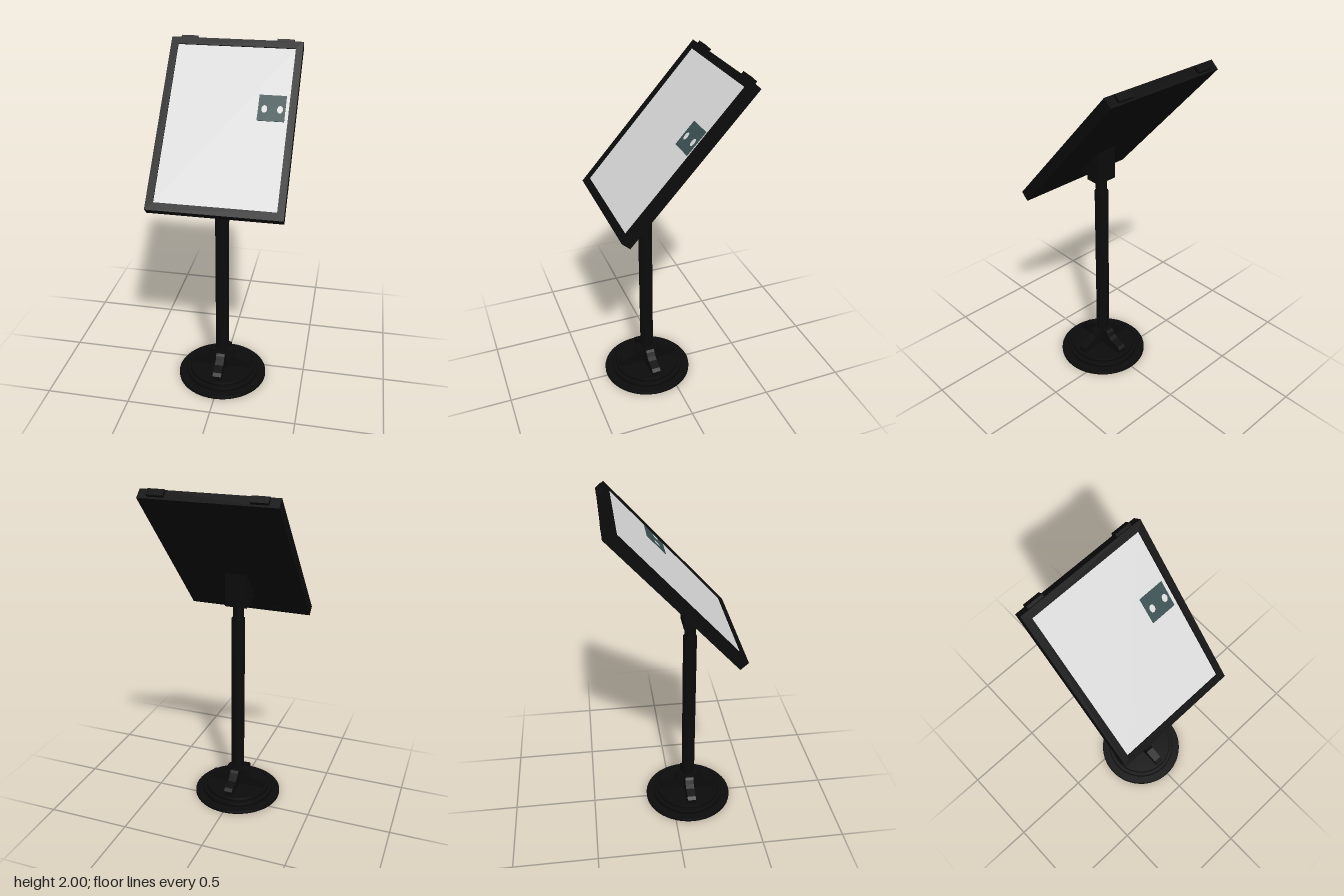
import * as THREE from 'three';

const mat = (name, color, side = THREE.FrontSide) => {
  const m = new THREE.MeshStandardMaterial({ color, side });
  m.name = name;
  return m;
};

export function createModel() {
  const black = mat('black', 0x0b0b0b);
  const screenGrey = mat('screen grey', 0xd9d9d9);
  const teal = mat('dark teal', 0x3a4f50);

  const model = new THREE.Group();
  model.name = 'displayStand';

  const add = (parent, name, geometry, material, x = 0, y = 0, z = 0) => {
    const mesh = new THREE.Mesh(geometry, material);
    mesh.name = name;
    mesh.position.set(x, y, z);
    parent.add(mesh);
    return mesh;
  };
  const shapeOf = pts => new THREE.Shape(pts.map(p => new THREE.Vector2(...p)));
  // Side profile extruded to a width centred on its plane
  const slab = (pts, width) => {
    const g = new THREE.ExtrudeGeometry(shapeOf(pts), { depth: width, bevelEnabled: false });
    return g.translate(0, 0, -width / 2);
  };

  // Stand, centred on the post
  const stand = new THREE.Group();
  stand.name = 'stand';
  stand.position.z = 0.11;
  model.add(stand);

  // Stepped round base
  const discs = [[0.27, 0, 0.02], [0.222, 0.02, 0.045], [0.2, 0.045, 0.067]];
  discs.forEach(([r, y0, y1], i) => {
    const c = 0.006;
    const profile = [[0, y0], [r, y0], [r, y1 - c], [r - c, y1], [0, y1]];
    const g = new THREE.LatheGeometry(profile.map(p => new THREE.Vector2(...p)), 48);
    add(stand, `baseDisc${i + 1}`, g, black);
  });

  // Four curved feet bracing the post
  const foot = [[0, 0.06], [0.182, 0.06], [0.182, 0.095], [0.165, 0.112], [0.11, 0.128],
    [0.085, 0.142], [0.072, 0.165], [0.06, 0.178], [0, 0.178]];
  for (let i = 0; i < 4; i++) {
    add(stand, 'braceFoot', slab(foot, 0.052), black).rotation.y = i * Math.PI / 2;
  }

  // Post, with narrower sections at both ends
  add(stand, 'postFoot', new THREE.CylinderGeometry(0.035, 0.035, 0.15, 32), black, 0, 0.135);
  add(stand, 'post', new THREE.CylinderGeometry(0.04, 0.04, 1.0, 32), black, 0, 0.69);
  add(stand, 'postNeck', new THREE.CylinderGeometry(0.033, 0.033, 0.12, 32), black, 0, 1.23);

  // Wedge bracket between the post and the panel
  const wedge = [[-0.045, 1.27], [0.045, 1.27], [0.045, 1.298], [0.11, 1.298], [-0.045, 1.472]];
  add(stand, 'bracket', slab(wedge, 0.13), black).rotation.y = -Math.PI / 2;

  // Tilted panel
  const panel = new THREE.Group();
  panel.name = 'panel';
  panel.position.set(0, 1.59, -0.005);
  panel.rotation.x = -0.733;
  model.add(panel);

  const rect = (x0, y0, x1, y1) => [[x0, y0], [x1, y0], [x1, y1], [x0, y1]];
  const frame = shapeOf(rect(-0.375, -0.523, 0.375, 0.513));
  frame.holes.push(shapeOf(rect(-0.333, -0.478, 0.336, 0.47)));
  const frameGeo = new THREE.ExtrudeGeometry(frame, { depth: 0.06, bevelEnabled: false });
  add(panel, 'frame', frameGeo, black, 0, 0, -0.03);
  add(panel, 'backPlate', new THREE.BoxGeometry(0.74, 1.026, 0.04), black, 0, -0.005, -0.0098);
  add(panel, 'screen', new THREE.BoxGeometry(0.669, 0.948, 0.008), screenGrey, 0.0015, -0.004, 0.019);

  // Clips on the top edge
  for (const s of [-1, 1]) {
    add(panel, 'topClip', new THREE.BoxGeometry(0.095, 0.03, 0.04), black, s * 0.275, 0.515, 0.002);
  }

  // Square badge on the screen with two pale spots
  add(panel, 'badge', new THREE.BoxGeometry(0.15, 0.153, 0.004), teal, 0.242, 0.107, 0.0245);
  for (const x of [0.202, 0.288]) {
    const spot = add(panel, 'badgeSpot', new THREE.CircleGeometry(0.016, 16), screenGrey, x, 0.1, 0.0275);
    spot.scale.y = 1.4;
  }

  return model;
}
